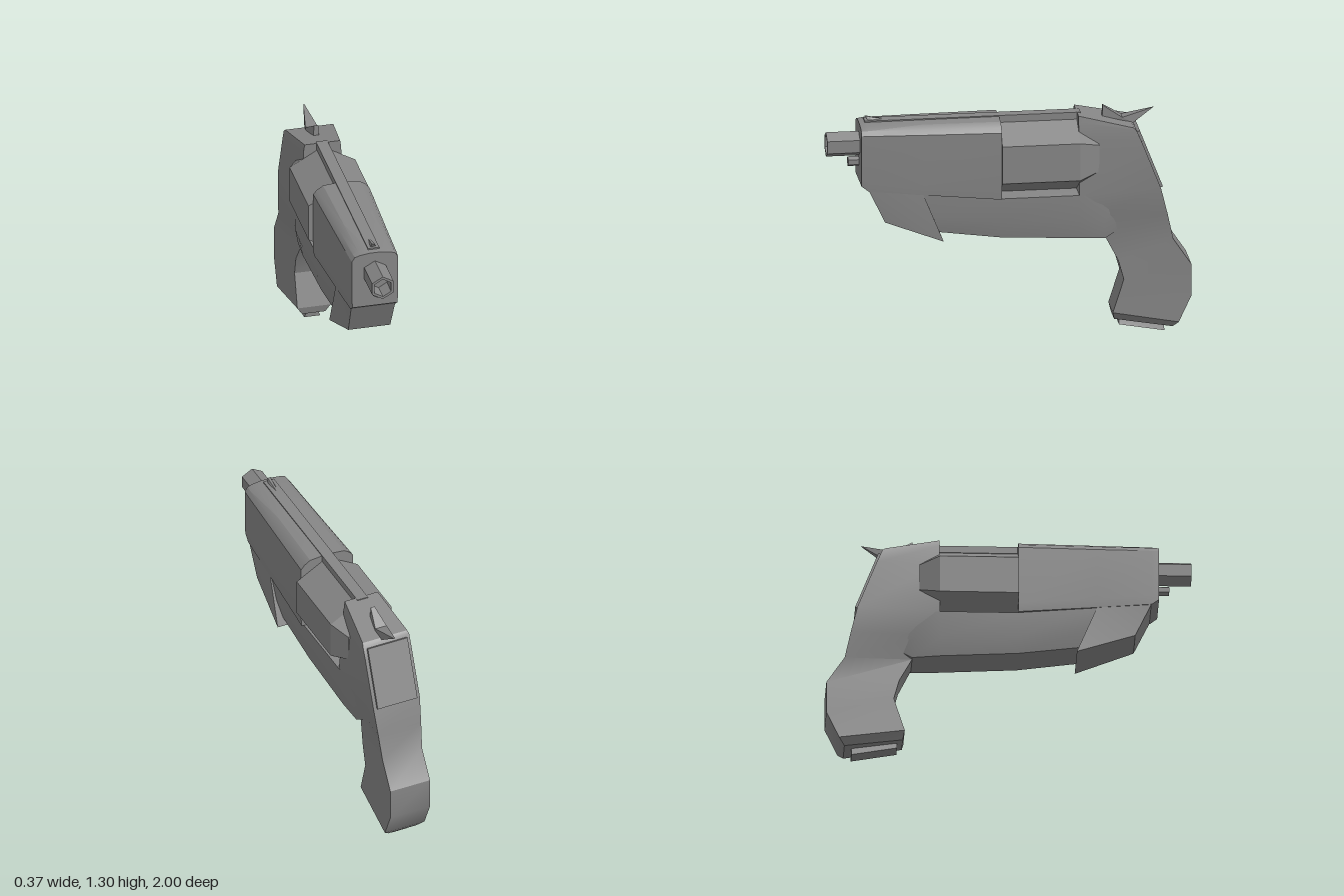
import * as THREE from 'three';
import { toCreasedNormals } from 'three/addons/utils/BufferGeometryUtils.js';
import { ConvexGeometry } from 'three/addons/geometries/ConvexGeometry.js';

const material = new THREE.MeshStandardMaterial({ color: 0x868686 });

// Closed skin through matching rings of [x, y, z] points, with capped ends
function loft(rings, crease = 0.45) {
  const n = rings[0].length;
  const index = [];
  for (let r = 0; r < rings.length - 1; r++) {
    for (let i = 0; i < n; i++) {
      const a = r * n + i, b = r * n + (i + 1) % n;
      index.push(a, b, b + n, a, b + n, a + n);
    }
  }
  const last = (rings.length - 1) * n;
  for (let i = 1; i < n - 1; i++) index.push(0, i + 1, i, last, last + i, last + i + 1);
  const pts = rings.flat().map(p => new THREE.Vector3(...p));
  // Turn the faces outward whichever way the rings run
  let volume = 0;
  for (let i = 0; i < index.length; i += 3) {
    volume += pts[index[i]].dot(pts[index[i + 1]].clone().cross(pts[index[i + 2]]));
  }
  if (volume < 0) index.reverse();
  const g = new THREE.BufferGeometry().setFromPoints(pts);
  g.setIndex(index);
  return toCreasedNormals(g, crease);
}

// Adds the x-mirrored half to a list of points
const mirror = half => [...half, ...half.slice().reverse().map(([x, y, z]) => [-x, y, z])];
const hull = half => new ConvexGeometry(mirror(half).map(p => new THREE.Vector3(...p)));

// Hexagon with corners at top and bottom, at depth z
const hexagon = (r, y, z) => Array.from({ length: 6 }, (_, i) =>
  [r * Math.sin(i * Math.PI / 3), y + r * Math.cos(i * Math.PI / 3), z]);

export function createModel() {
  const group = new THREE.Group();
  const add = (name, geometry) => {
    const mesh = new THREE.Mesh(geometry, material);
    mesh.name = name;
    group.add(mesh);
    return mesh;
  };

  // Barrel shroud: z, lower edge, half width, shoulder height, top height
  add('barrelShroud', loft([
    [0.82, 0.93, 0.13, 1.22, 1.262],
    [0.78, 0.90, 0.133, 1.22, 1.268],
    [0.48, 0.87, 0.143, 1.217, 1.269],
    [0.05, 0.83, 0.158, 1.215, 1.27],
  ].map(([z, low, w, shoulder, top]) => mirror([
    [w - 0.004, low, z], [w, low + 0.05, z], [w, shoulder, z],
    [w * 0.87, shoulder + 0.025, z], [w * 0.65, top - 0.007, z], [0.03, top, z],
  ]))));

  // Wedge under the barrel
  add('underBarrelWedge', loft([
    mirror([[0.124, 0.905, 0.78], [0.118, 0.715, 0.69]]),
    mirror([[0.138, 0.875, 0.482], [0.146, 0.60, 0.37]]),
  ], 0.2));

  // Lower frame below the cylinder: top z, y; bottom z, y; half widths top, middle, bottom
  add('lowerFrame', loft([
    [0.52, 0.89, 0.41, 0.645, 0.132, 0.125, 0.105],
    [0.05, 0.83, 0.05, 0.598, 0.14, 0.132, 0.11],
    [-0.38, 0.83, -0.38, 0.575, 0.138, 0.13, 0.11],
    [-0.50, 0.82, -0.53, 0.566, 0.125, 0.12, 0.10],
    [-0.60, 0.78, -0.65, 0.64, 0.11, 0.10, 0.08],
  ].map(([zt, yt, zb, yb, wt, wm, wb]) => mirror([
    [wb, yb, zb], [wm, yb + (yt - yb) * 0.4, zb + (zt - zb) * 0.4], [wt, yt, zt],
  ]))));

  // Rear frame and grip, as slices from the butt upward:
  // front z, y; back z, y; half widths of front and back
  add('rearFrameAndGrip', loft([
    [-0.58, 0.085, -0.90, 0.035, 0.065, 0.085],
    [-0.57, 0.13, -0.93, 0.07, 0.094, 0.12],
    [-0.63, 0.32, -1.00, 0.22, 0.095, 0.12],
    [-0.60, 0.43, -1.00, 0.40, 0.095, 0.12],
    [-0.53, 0.565, -0.90, 0.55, 0.075, 0.12],
    [-0.45, 0.70, -0.867, 0.70, 0.11, 0.13],
    [-0.38, 0.83, -0.83, 0.85, 0.135, 0.14],
    [-0.38, 1.13, -0.725, 1.12, 0.11, 0.14],
    [-0.38, 1.24, -0.695, 1.19, 0.105, 0.14],
    [-0.38, 1.275, -0.68, 1.205, 0.10, 0.135],
  ].map(([zf, yf, zb, yb, a, b]) => mirror([[a, yf, zf], [b, yb, zb]]))));

  // Six-sided cylinder with a tapered rear
  add('cylinder', loft([
    hexagon(0.213, 1.037, 0.05), hexagon(0.213, 1.037, -0.38), hexagon(0.15, 1.037, -0.49),
  ], 0.2));

  // Rib along the top
  const rib = add('topRib', new THREE.BoxGeometry(0.064, 0.04, 1.19));
  rib.position.set(0, 1.255, 0.195);

  // Hollow six-sided muzzle and the rod beneath it
  add('muzzle', loft([
    hexagon(0.07, 1.14, 0.80), hexagon(0.07, 1.14, 1.0),
    hexagon(0.054, 1.14, 1.0), hexagon(0.054, 1.14, 0.9),
  ], 0.2));
  add('ejectorRod', loft([hexagon(0.028, 1.038, 0.80), hexagon(0.028, 1.038, 0.88)], 0.2));

  // Front sight
  add('frontSight', hull([
    [0.008, 1.296, 0.785], [0.016, 1.27, 0.77], [0.014, 1.27, 0.73], [0.004, 1.273, 0.68],
  ]));

  // Hammer: upright nose and swept-back spur
  add('hammerNose', hull([
    [0.012, 1.302, -0.525], [0.016, 1.22, -0.52], [0.034, 1.235, -0.63], [0.03, 1.20, -0.62],
  ]));
  add('hammerSpur', hull([
    [0.034, 1.235, -0.63], [0.03, 1.20, -0.62], [0.025, 1.198, -0.69], [0.003, 1.277, -0.805],
  ]));

  // Raised plate on the back
  const plate = add('backPlate', new THREE.BoxGeometry(0.24, 0.35, 0.03));
  plate.position.set(0, 1.014, -0.765);
  plate.rotation.x = Math.atan2(0.13, 0.335);

  // Foot under the grip
  add('gripFoot', loft([
    mirror([[0.03, 0.08, -0.61], [0.03, 0.05, -0.86]]),
    mirror([[0.045, 0.045, -0.61], [0.045, 0.0, -0.86]]),
  ], 0.2));

  return group;
}
